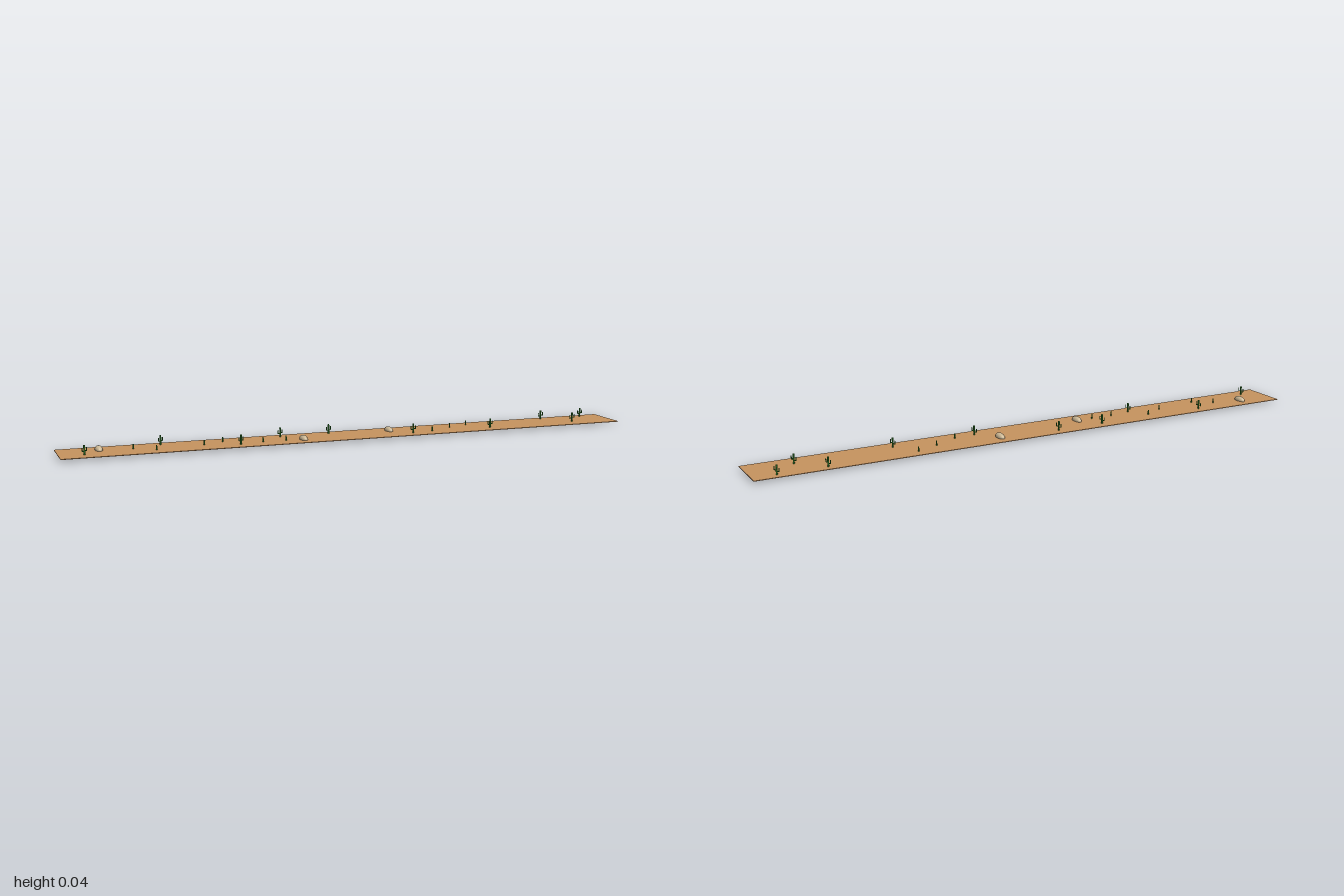
import * as THREE from 'three';

const sand = new THREE.MeshStandardMaterial({ color: 0xc6935f });
const stone = new THREE.MeshStandardMaterial({ color: 0xcdb996 });
const green = new THREE.MeshStandardMaterial({ color: 0x2e7d26 });
const GROUND = 0.01;

function add(parent, name, geometry, material, x, y, z) {
  const mesh = new THREE.Mesh(geometry, material);
  mesh.name = name;
  mesh.position.set(x, y, z);
  parent.add(mesh);
  return mesh;
}

// Upright trunk with two raised side arms
function makeCactus() {
  const g = new THREE.Group();
  g.name = 'cactus';
  add(g, 'trunk', new THREE.CylinderGeometry(0.003, 0.003, 0.032, 8), green, 0, 0.016, 0);
  for (const side of [-1, 1]) {
    const top = side > 0 ? 0.026 : 0.022;
    const elbow = add(g, 'armElbow', new THREE.CylinderGeometry(0.0016, 0.0016, 0.008, 6), green, side * 0.004, top - 0.011, 0);
    elbow.rotation.z = Math.PI / 2;
    add(g, 'armTip', new THREE.CylinderGeometry(0.0016, 0.0016, 0.012, 6), green, side * 0.008, top - 0.006, 0);
  }
  g.rotation.y = -Math.PI / 4;
  return g;
}

export function createModel() {
  const model = new THREE.Group();
  model.name = 'desertGround';

  // Thin ground strip
  add(model, 'ground', new THREE.BoxGeometry(2, 0.002, 0.166), sand, 0, GROUND - 0.001, 0);

  // Half-buried oval rocks
  const rockGeo = new THREE.SphereGeometry(1, 20, 14).scale(0.0125, 0.0125, 0.026);
  for (const [x, z] of [[-0.865, -0.028], [-0.19, 0.025], [0.14, -0.028]]) {
    add(model, 'rock', rockGeo, stone, x, 0.0125, z);
  }

  // Tall cacti
  const cacti = [
    [-0.92, 0.037], [-0.66, -0.05], [-0.41, 0.035], [-0.25, -0.047], [-0.075, -0.05],
    [0.205, 0.038], [0.5, 0.04], [0.755, -0.056], [0.84, 0.025], [0.92, -0.056],
  ];
  for (const [x, z] of cacti) {
    const cactus = makeCactus();
    cactus.position.set(x, GROUND, z);
    model.add(cactus);
  }

  // Small single-stem sprouts
  const sproutGeo = new THREE.CylinderGeometry(0.002, 0.0025, 0.016, 7);
  const sprouts = [
    [-0.757, -0.008], [-0.69, 0.035], [-0.527, 0.008], [-0.455, -0.03], [-0.33, 0.021],
    [-0.25, 0.021], [0.28, 0.032], [0.366, -0.011], [0.444, -0.043],
  ];
  for (const [x, z] of sprouts) add(model, 'sprout', sproutGeo, green, x, GROUND + 0.008, z);

  return model;
}
